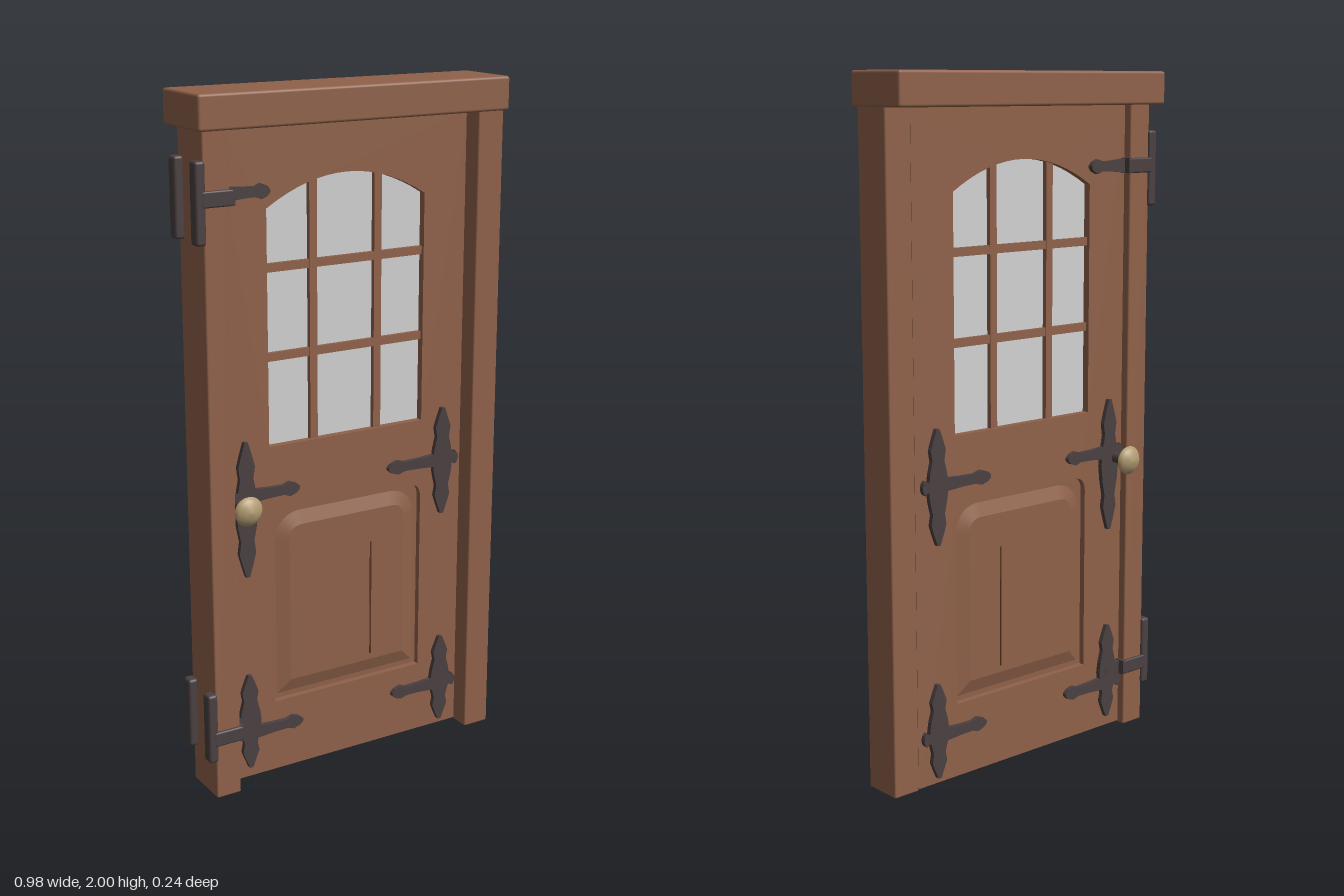
import * as THREE from 'three';
import { RoundedBoxGeometry } from 'three/addons/geometries/RoundedBoxGeometry.js';

const mat = (name, color) => Object.assign(new THREE.MeshStandardMaterial({ color }), { name });

export function createModel() {
  const wood = mat('wood', 0x90624a);
  const crack = mat('dark wood', 0x50341f);
  const iron = mat('wrought iron', 0x4b4041);
  const brass = mat('brass', 0xb39c72);
  const glass = mat('glass', 0xd2d2d2);

  const model = new THREE.Group();
  model.name = 'door';

  const add = (name, geometry, material, x = 0, y = 0, z = 0) => {
    const mesh = new THREE.Mesh(geometry, material);
    mesh.name = name;
    mesh.position.set(x, y, z);
    model.add(mesh);
    return mesh;
  };
  // Box given by its limits on each axis
  const box = (name, material, x0, x1, y0, y1, z0, z1, radius = 0) => {
    const size = [x1 - x0, y1 - y0, z1 - z0];
    const geometry = radius ? new RoundedBoxGeometry(...size, 2, radius) : new THREE.BoxGeometry(...size);
    return add(name, geometry, material, (x0 + x1) / 2, (y0 + y1) / 2, (z0 + z1) / 2);
  };
  // Extrusion centred on z = 0
  const slab = (shape, depth, bevel = null) => {
    const geometry = new THREE.ExtrudeGeometry(shape, {
      depth, curveSegments: 16, bevelEnabled: !!bevel, bevelSegments: 1, ...bevel,
    });
    return geometry.translate(0, 0, -depth / 2);
  };

  // Frame
  box('lintel', wood, -0.485, 0.49, 1.905, 2, -0.1, 0.11, 0.008);
  box('hingePost', wood, -0.467, -0.39, 0, 1.91, -0.055, 0.09, 0.005);
  box('latchPost', wood, 0.4, 0.485, 0, 1.91, -0.03, 0.09, 0.005);

  // Outlines of the arched window and the lower panel
  const trace = {
    window(path) {
      path.moveTo(-0.25, 1.01);
      path.lineTo(0.26, 1.01);
      path.lineTo(0.26, 1.68);
      path.quadraticCurveTo(0.005, 1.84, -0.25, 1.68);
      path.closePath();
      return path;
    },
    panel(path, inset = 0) {
      const [l, r, b, t, c] = [-0.24 + inset, 0.26 - inset, 0.225 + inset, 0.815 - inset, 0.045];
      path.moveTo(l, b);
      path.lineTo(r, b);
      path.lineTo(r, t - c);
      path.quadraticCurveTo(r, t, r - c, t);
      path.lineTo(l + c, t);
      path.quadraticCurveTo(l, t, l, t - c);
      path.closePath();
      return path;
    },
  };

  // Door leaf with both openings
  const leaf = new THREE.Shape();
  leaf.moveTo(-0.392, 0.006);
  leaf.lineTo(0.402, 0.006);
  leaf.lineTo(0.402, 1.906);
  leaf.lineTo(-0.392, 1.906);
  leaf.closePath();
  leaf.holes.push(trace.window(new THREE.Path()), trace.panel(new THREE.Path()));
  add('doorLeaf', slab(leaf, 0.06), wood);

  // Glass and glazing bars
  add('windowGlass', slab(trace.window(new THREE.Shape()), 0.016), glass);
  for (const x of [-0.1, 0.11]) box('verticalBar', wood, x - 0.012, x + 0.012, 1.01, 1.75, -0.022, 0.022);
  for (const y of [1.265, 1.515]) box('horizontalBar', wood, -0.25, 0.26, y - 0.012, y + 0.012, -0.02, 0.02);

  // Sunken panel with a raised, bevelled field
  add('panelBack', slab(trace.panel(new THREE.Shape()), 0.024), wood);
  add('panelField', slab(trace.panel(new THREE.Shape(), 0.055), 0.024,
    { bevelThickness: 0.013, bevelSize: 0.04 }), wood);

  // Pointed, leaf-like iron strap running from a to b
  const strapShape = (ax, ay, bx, by, width) => {
    const outline = [[0, 0.15], [0.1, 0.5], [0.18, 0.75], [0.27, 0.6], [0.38, 0.85], [0.5, 1],
      [0.62, 0.85], [0.73, 0.6], [0.82, 0.75], [0.9, 0.5], [1, 0.15]];
    const a = new THREE.Vector2(ax, ay);
    const d = new THREE.Vector2(bx - ax, by - ay);
    const n = new THREE.Vector2(-d.y, d.x).normalize().multiplyScalar(width / 2);
    const at = ([t, w], side) => a.clone().addScaledVector(d, t).addScaledVector(n, w * side);
    return new THREE.Shape([
      ...outline.map((p) => at(p, -1)),
      ...outline.slice().reverse().map((p) => at(p, 1)),
    ]);
  };
  // Tapered arm with a swollen tip
  const armShape = (x0, x1, y) => {
    const outline = [[0, 0.021], [0.45, 0.015], [0.7, 0.014], [0.82, 0.021], [0.94, 0.014], [1, 0.004]];
    const point = ([t, h], s) => new THREE.Vector2(x0 + (x1 - x0) * t, y + h * s);
    return new THREE.Shape([
      ...outline.map((p) => point(p, -1)),
      ...outline.slice().reverse().map((p) => point(p, 1)),
    ]);
  };

  // Cross-shaped straps: centre x, bottom, top, arm height, arm tip
  const crosses = [
    [-0.33, 0.64, 1.04, 0.88, -0.16],
    [0.33, 0.71, 1.04, 0.88, 0.14],
    [-0.33, 0.04, 0.335, 0.15, -0.155],
    [0.335, 0.025, 0.305, 0.15, 0.16],
  ];
  const knobProfile = [[0, 0.122], [0.018, 0.119], [0.034, 0.11], [0.043, 0.1], [0.04, 0.093],
    [0.022, 0.09], [0, 0.09]].reverse().map(([r, h]) => new THREE.Vector2(r, h));

  // Ironwork and knob on both faces
  for (const side of [1, -1]) {
    const face = side * 0.034;
    for (const [x, bottom, top, armY, tip] of crosses) {
      add('strapUpright', slab(strapShape(x, bottom, x, top, 0.07), 0.02), iron, 0, 0, face);
      add('strapArm', slab(armShape(x, tip, armY), 0.02), iron, 0, 0, face);
      const stub = x + Math.sign(x) * 0.055;
      add('strapStub', slab(armShape(x, stub, armY), 0.02), iron, 0, 0, face);
    }

    // Hinges wrapped around the outer edge of the post
    const post = side > 0 ? 0.09 : 0.055;
    const span = (name, x0, x1, y0, y1, za, zb, r) =>
      box(name, iron, x0, x1, y0, y1, Math.min(side * za, side * zb), Math.max(side * za, side * zb), r);
    for (const [y0, y1, strapY, tip] of [[1.61, 1.83, 1.73, -0.245], [0.12, 0.33, 0.19, -0.32]]) {
      span('hingePlate', -0.492, -0.462, y0, y1, post - 0.03, post + 0.008, 0.008);
      span('hingeStrap', -0.475, -0.38, strapY - 0.022, strapY + 0.022, post - 0.004, post + 0.009, 0.005);
      span('hingeStep', -0.39, -0.378, strapY - 0.022, strapY + 0.022, 0.03, post + 0.008);
      add('hingeArm', slab(armShape(-0.385, tip, strapY), 0.022), iron, 0, 0, face);
    }

    // Knob and its stem
    const turn = side * Math.PI / 2;
    const stem = add('knobStem', new THREE.CylinderGeometry(0.014, 0.018, 0.065, 16), iron, -0.355, 0.86, side * 0.0615);
    stem.rotation.x = turn;
    const knob = add('knob', new THREE.LatheGeometry(knobProfile, 28), brass, -0.355, 0.86, 0);
    knob.rotation.x = turn;

    // Board seam on the panel
    box('panelSeam', crack, 0.087, 0.092, 0.3, 0.66, side * 0.0255 - 0.001, side * 0.0255 + 0.001);
  }
  return model;
}
